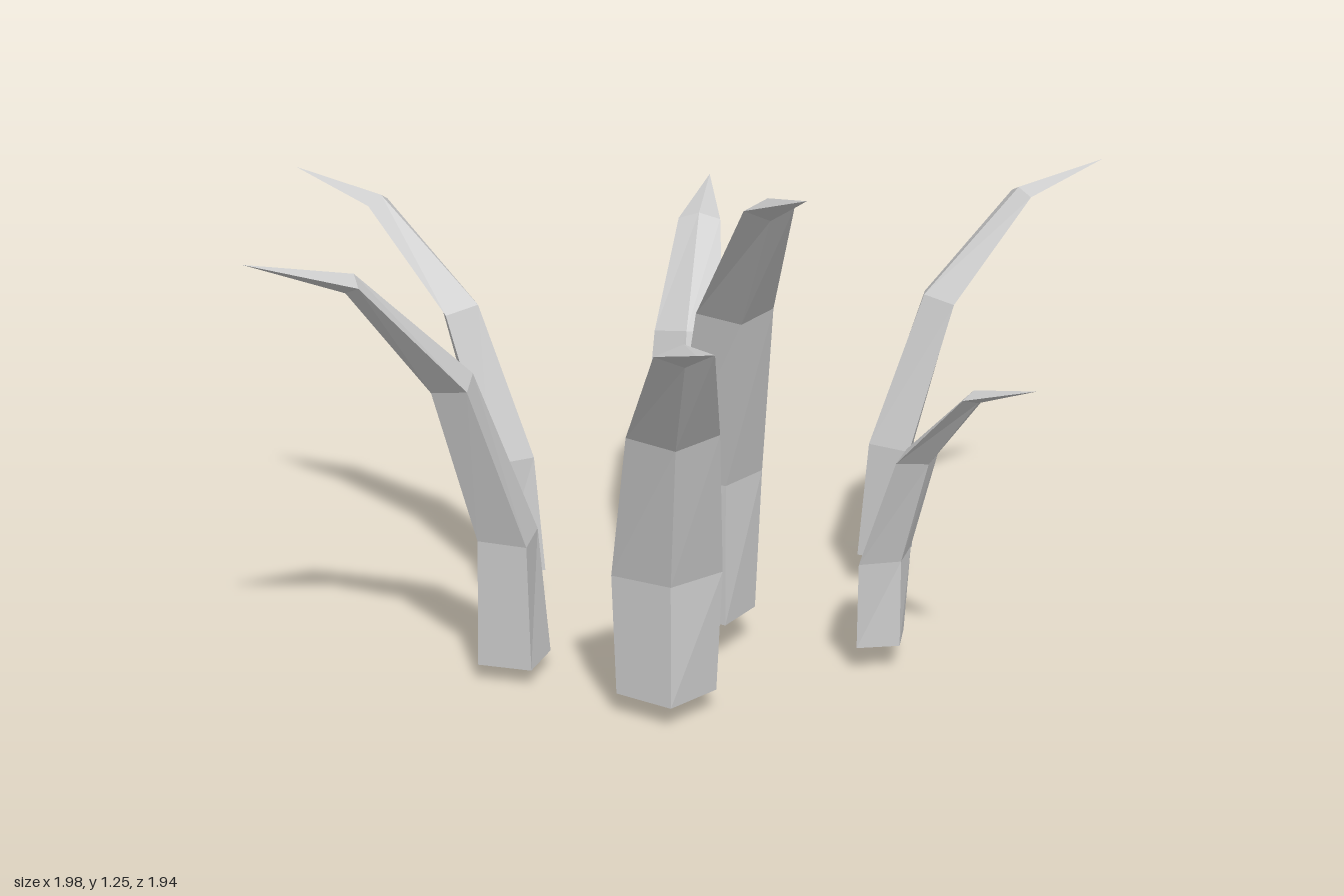
import * as THREE from 'three';

// Rings up one blade: height and reach as fractions of its full height and reach,
// width and thickness as fractions of its base, and forward tilt in radians
const RINGS = [
  { h: 0, reach: 0, w: 1, t: 1, tilt: 0 },
  { h: 0.3, reach: 0.02, w: 1.1, t: 0.82, tilt: 0.04 },
  { h: 0.675, reach: 0.23, w: 0.9, t: 0.58, tilt: 0.3 },
  { h: 0.93, reach: 0.61, w: 0.56, t: 0.25, tilt: 1.1 },
];

// Four-sided blade that curves towards +z and ends in a point
function bladeGeometry(height, reach, width, thick) {
  const rings = RINGS.map((r) => [0, 1, 2, 3].map((i) => {
    const a = i * Math.PI / 2;
    const across = Math.sin(a) * r.w * width / 2;
    const out = Math.cos(a) * r.t * thick / 2;
    return [across, r.h * height - out * Math.sin(r.tilt), r.reach * reach + out * Math.cos(r.tilt)];
  }));
  const tip = [0, height, reach];
  const pos = [];
  const tri = (a, b, c) => pos.push(...a, ...b, ...c);

  for (let k = 0; k < rings.length; k++) {
    for (let i = 0; i < 4; i++) {
      const j = (i + 1) % 4;
      const low = rings[k], high = rings[k + 1];
      if (high) {
        tri(low[i], low[j], high[j]);
        tri(low[i], high[j], high[i]);
      } else {
        tri(low[i], low[j], tip);
      }
    }
  }
  // bottom cap
  const b = rings[0];
  tri(b[0], b[2], b[1]);
  tri(b[0], b[3], b[2]);

  const geo = new THREE.BufferGeometry();
  geo.setAttribute('position', new THREE.Float32BufferAttribute(pos, 3));
  geo.computeVertexNormals();
  return geo;
}

export function createModel() {
  const group = new THREE.Group();
  group.name = 'grassTuft';
  const grey = new THREE.MeshStandardMaterial({ color: 0xcccccc, flatShading: true });
  grey.name = 'bladeGrey';

  // base centre, tip, width across the bend, thickness along the bend
  const blades = [
    { name: 'rightBlade', base: [-0.4, 0.08, 0.02], tip: [-0.99, 1.035, 0.055], w: 0.165, t: 0.175 },
    { name: 'tallCentreBlade', base: [0.19, 0.09, 0.08], tip: [0.66, 1.245, 0.6], w: 0.2, t: 0.2 },
    { name: 'frontLeftBlade', base: [0.275, 0.05, 0.48], tip: [0.6, 1.005, 0.965], w: 0.225, t: 0.195 },
    { name: 'frontRightBlade', base: [-0.14, 0.04, 0.45], tip: [-0.485, 1.055, 0.965], w: 0.18, t: 0.185 },
    { name: 'backRightBlade', base: [-0.06, 0, -0.228], tip: [-0.265, 0.93, -0.77], w: 0.19, t: 0.16 },
    { name: 'leftBlade', base: [0.58, 0.06, -0.01], tip: [0.99, 0.76, 0.12], w: 0.165, t: 0.12 },
    { name: 'backLeftBlade', base: [0.37, 0.08, -0.51], tip: [0.735, 1.035, -0.97], w: 0.165, t: 0.155 },
  ];
  for (const { name, base, tip, w, t } of blades) {
    const dx = tip[0] - base[0], dz = tip[2] - base[2];
    const mesh = new THREE.Mesh(bladeGeometry(tip[1] - base[1], Math.hypot(dx, dz), w, t), grey);
    mesh.name = name;
    mesh.position.set(...base);
    mesh.rotation.y = Math.atan2(dx, dz);
    group.add(mesh);
  }
  return group;
}
